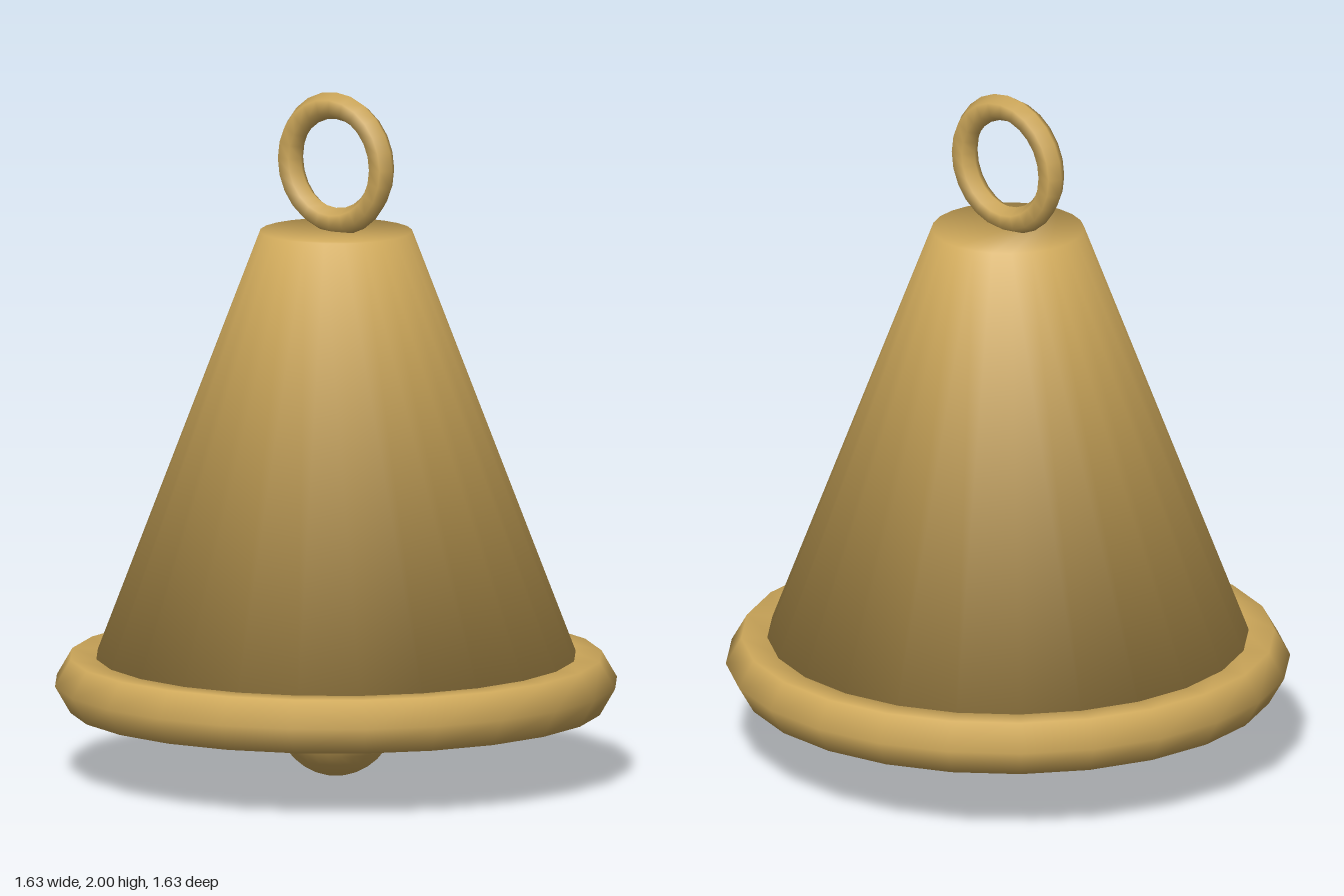
import * as THREE from 'three';

const SIDES = 24;

// Closed frustum whose wall and caps share vertices, so its shading is smooth all over
function smoothFrustum(rBottom, yBottom, rTop, yTop) {
  const profile = [new THREE.Vector2(rBottom, yBottom), new THREE.Vector2(rTop, yTop)];
  const geo = new THREE.LatheGeometry(profile, SIDES);

  // blend the wall normals with the cap normals
  const normals = geo.attributes.normal;
  const n = new THREE.Vector3();
  for (let i = 0; i < normals.count; i++) {
    n.fromBufferAttribute(normals, i);
    n.y += i % 2 ? 1 : -1;
    n.normalize();
    normals.setXYZ(i, n.x, n.y, n.z);
  }

  // fan the two caps across the rim vertices
  const index = Array.from(geo.index.array);
  for (let i = 1; i < SIDES - 1; i++) {
    index.push(0, 2 * i + 2, 2 * i);
    index.push(1, 2 * i + 1, 2 * i + 3);
  }
  geo.setIndex(index);
  return geo;
}

export function createModel() {
  const group = new THREE.Group();
  group.name = 'bell';
  const brass = new THREE.MeshStandardMaterial({ color: 0xcfa95b });

  const add = (name, geometry, y = 0) => {
    const mesh = new THREE.Mesh(geometry, brass);
    mesh.name = name;
    mesh.position.y = y;
    group.add(mesh);
    return mesh;
  };

  // tapered body
  add('body', smoothFrustum(0.725, 0.275, 0.22, 1.595));

  // six-sided rim around the mouth
  add('rim', new THREE.TorusGeometry(0.725, 0.09, 6, SIDES).rotateX(Math.PI / 2), 0.275);

  // hanging ring on top
  add('hangingRing', new THREE.TorusGeometry(0.169, 0.039, 6, SIDES), 1.792);

  // ball clapper below the mouth
  add('clapper', new THREE.SphereGeometry(0.17, SIDES, 16), 0.172);

  return group;
}
